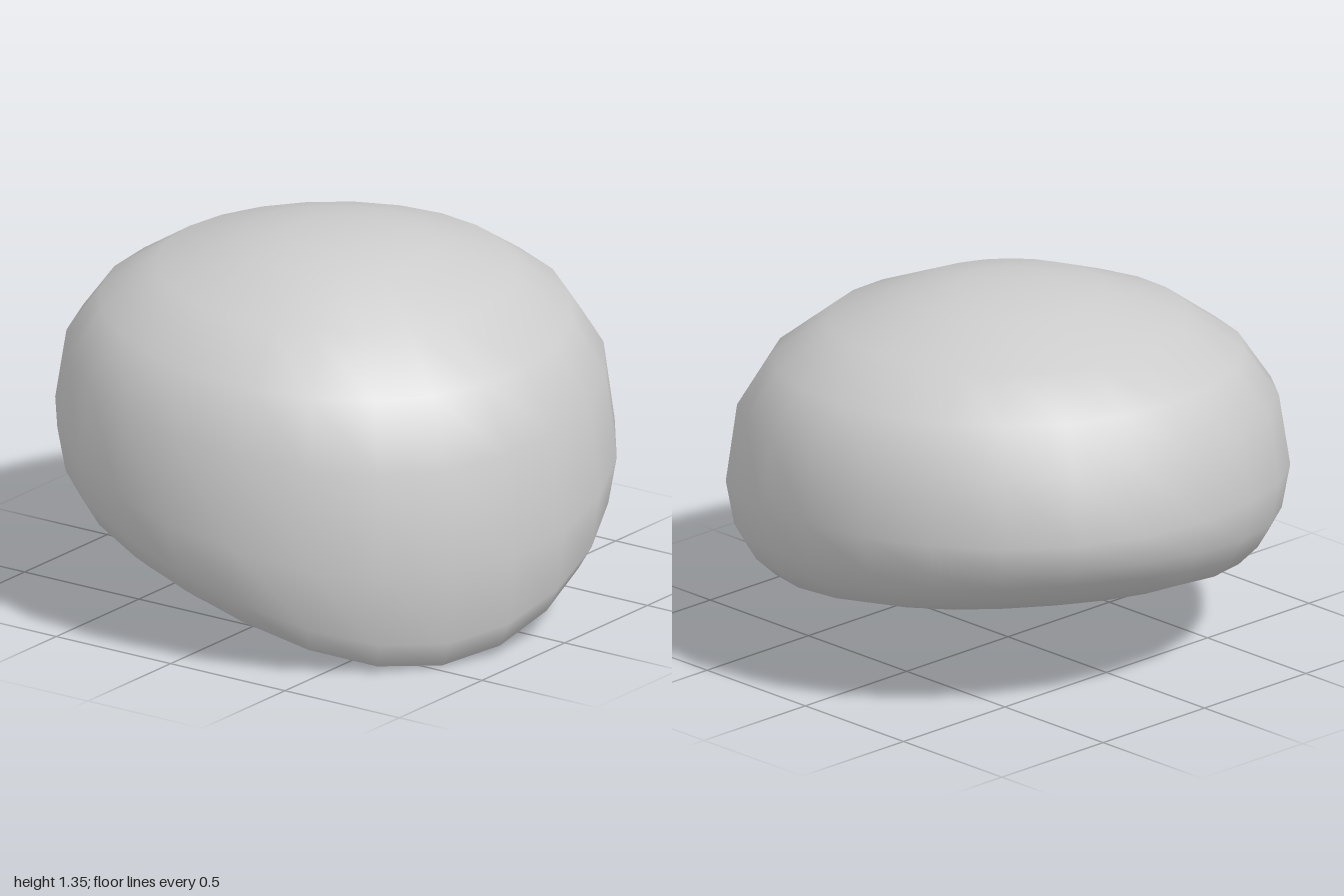
import * as THREE from 'three';
import { mergeVertices } from 'three/addons/utils/BufferGeometryUtils.js';

const SIDES = 24;
const TOP = 1.355;
// ring radii from the crown to the widest ring, then under to the centre
const RINGS = [0, 0.18, 0.35, 0.64, 0.84, 0.96, 1, 0.97, 0.92, 0.85, 0.7, 0.48, 0.24, 0];
const WIDEST = RINGS.indexOf(1);

// height of the widest ring, drooping toward the low lobe (t = 1)
const equator = (t) => 0.634 - 0.165 * t - 0.088 * t * t;

// domed upper side
function upperY(r, t) {
  const e = equator(t);
  return e + (TOP - e) * Math.pow(Math.sqrt(1 - r * r), 0.76);
}

// underside: slopes down to the lobe, with a shallow hollow and a rim
// that is tight at the lobe and broadly rounded on the high side
function lowerY(r, t) {
  const s = r * t;
  const slope = 0.285 - 0.09 * s - 0.11 * s * s - 0.2 * s * s * s;
  const hollow = 0.12 * Math.pow(Math.max(0, 1 - (r / 0.8) ** 2), 1.5);
  const width = 0.26 - 0.1 * t;
  const rim = Math.sqrt(1 - Math.max(0, (r - 1 + width) / width) ** 2);
  const e = equator(t);
  return e + (slope + hollow - e) * rim;
}

export function createModel() {
  const rows = RINGS.length - 1;
  let geometry = new THREE.SphereGeometry(1, SIDES, rows);
  const p = geometry.attributes.position;
  for (let i = 0; i < p.count; i++) {
    const row = Math.floor(i / (SIDES + 1));
    const a = ((i % (SIDES + 1)) % SIDES) / SIDES * Math.PI * 2;
    const dx = -Math.cos(a), dz = Math.sin(a);
    const r = RINGS[row];
    const t = -0.525 * dx + 0.851 * dz; // 1 in the direction of the lobe
    p.setXYZ(i, r * dx, row <= WIDEST ? upperY(r, t) : lowerY(r, t), r * dz);
  }
  // weld the seam and poles so the shading is smooth
  geometry.deleteAttribute('uv');
  geometry.deleteAttribute('normal');
  geometry = mergeVertices(geometry, 1e-4);
  geometry.computeVertexNormals();
  geometry.computeBoundingBox();
  geometry.translate(0, -geometry.boundingBox.min.y, 0);

  const cap = new THREE.Mesh(geometry, new THREE.MeshStandardMaterial({ color: 0xcccccc }));
  cap.name = 'cap';
  const group = new THREE.Group();
  group.name = 'lopsidedCap';
  group.add(cap);
  return group;
}
